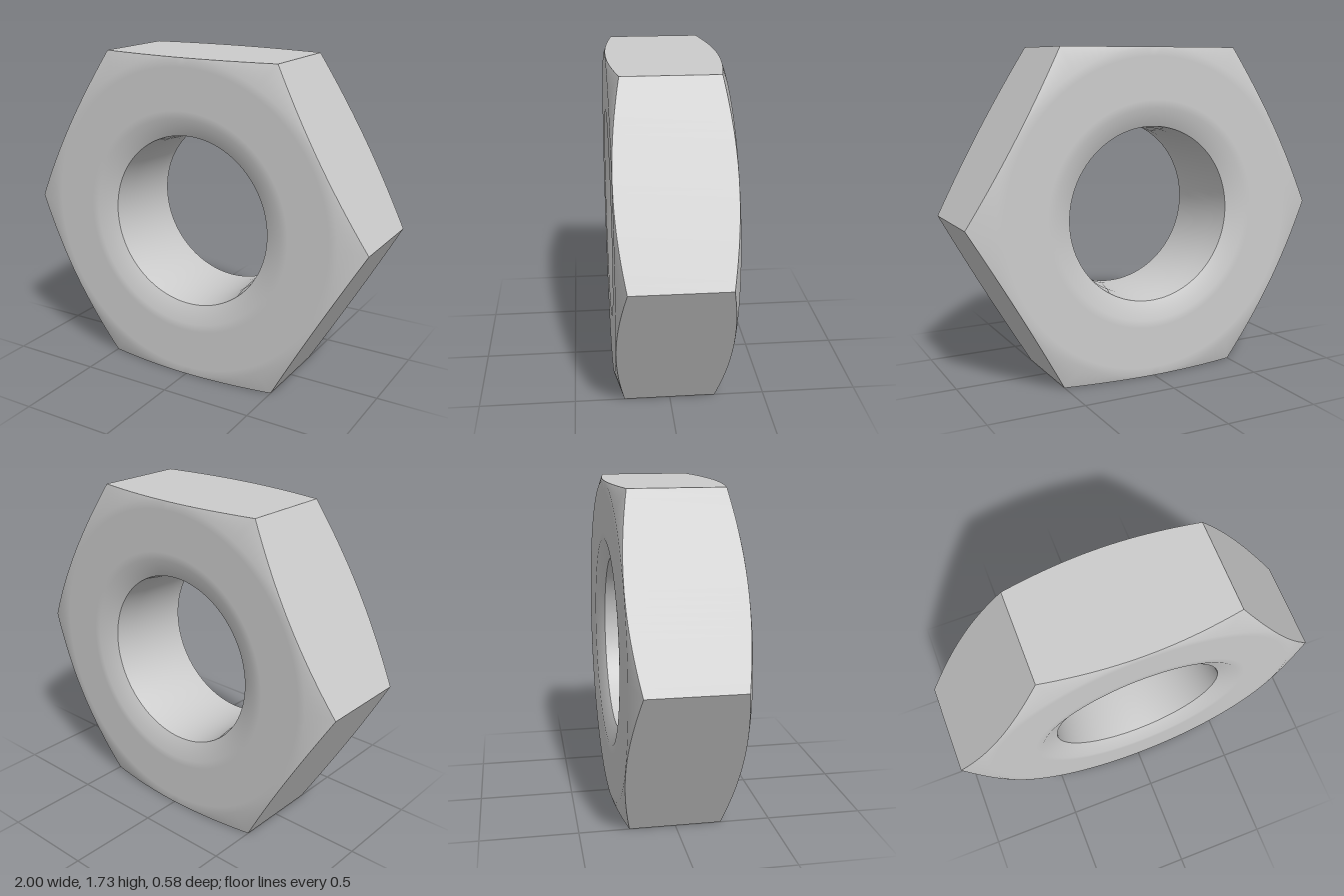
import * as THREE from 'three';
import { toCreasedNormals } from 'three/addons/utils/BufferGeometryUtils.js';

const APOTHEM = Math.sqrt(3) / 2; // hexagon with corner radius 1
const HALF = 0.29;                // half thickness
const SEGMENTS = 144;             // multiple of 6, so corners stay exact

// Distance from the axis to the hexagon's edge at an angle
function hexRadius(angle) {
  const sector = Math.PI / 3;
  const local = ((angle % sector) + sector) % sector - sector / 2;
  return APOTHEM / Math.cos(local);
}

// Closed cross-section [radius, z] at an angle, from outer front round to the bore
function crossSection(angle) {
  const r = hexRadius(angle);
  const rimZ = HALF - 0.05 * (r - 0.86) / 0.14; // conical corner chamfer
  const front = [[0.45, 0.12], [0.463, 0.245], [0.56, HALF], [0.6, HALF], [0.82, HALF], [0.86, HALF], [r, rimZ]];
  const back = front.map(([a, z]) => [a, -z]).reverse();
  return [...front, ...back];
}

function nutGeometry() {
  const positions = [], indices = [];
  const n = crossSection(0).length;
  for (let i = 0; i < SEGMENTS; i++) {
    const angle = (i / SEGMENTS) * Math.PI * 2;
    for (const [r, z] of crossSection(angle)) {
      positions.push(r * Math.cos(angle), r * Math.sin(angle), z);
    }
    for (let j = 0; j < n; j++) {
      const i2 = (i + 1) % SEGMENTS, j2 = (j + 1) % n;
      const a = i * n + j, b = i2 * n + j, c = i * n + j2, d = i2 * n + j2;
      indices.push(a, c, b, b, c, d);
    }
  }
  const geometry = new THREE.BufferGeometry();
  geometry.setAttribute('position', new THREE.Float32BufferAttribute(positions, 3));
  geometry.setIndex(indices);
  return toCreasedNormals(geometry, 0.6);
}

export function createModel() {
  const group = new THREE.Group();
  group.name = 'hexNut';
  // Chamfered hexagonal body with a countersunk bore
  const body = new THREE.Mesh(nutGeometry(), new THREE.MeshStandardMaterial({ color: 0xcccccc }));
  body.name = 'nutBody';
  body.position.y = APOTHEM;
  group.add(body);
  return group;
}
